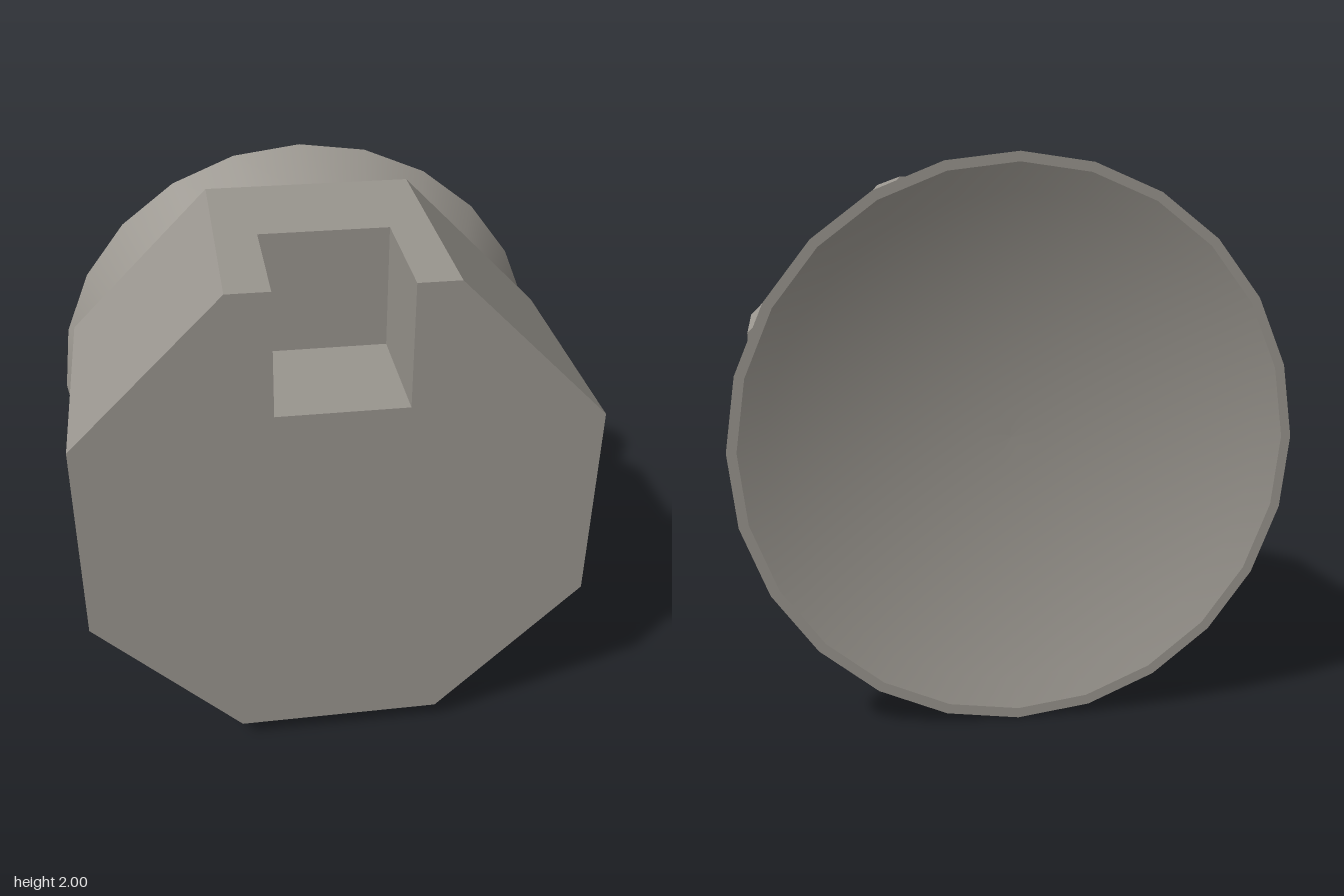
import * as THREE from 'three';
import { mergeGeometries } from 'three/addons/utils/BufferGeometryUtils.js';

const APOTHEM = 0.922, BACK = -0.347, FRONT = 0.575, CY = 1;
const HALF = APOTHEM * Math.tan(Math.PI / 8);          // half an octagon side
const NOTCH = { half: 0.232, floor: 0.465, back: 0.112 }; // floor is relative to the axis

const shapeFrom = (pts) => new THREE.Shape(pts.map(([x, y]) => new THREE.Vector2(x, y)));

// Octagonal block with a square notch cut into its top front edge
function blockGeometry() {
  const a = APOTHEM, h = HALF, n = NOTCH, parts = [];
  const ring = [[-h, a], [-a, h], [-a, -h], [-h, -a], [h, -a], [a, -h], [a, h], [h, a]];

  // front face, with the notch in its outline
  parts.push(new THREE.ShapeGeometry(shapeFrom([
    ...ring, [n.half, a], [n.half, n.floor], [-n.half, n.floor], [-n.half, a],
  ])).translate(0, 0, FRONT));

  // back face
  parts.push(new THREE.ShapeGeometry(shapeFrom(ring)).rotateY(Math.PI).translate(0, 0, BACK));

  // seven plain sides
  for (let k = 1; k < 8; k++) {
    parts.push(new THREE.PlaneGeometry(2 * h, FRONT - BACK).rotateX(-Math.PI / 2)
      .translate(0, a, (FRONT + BACK) / 2).rotateZ(k * Math.PI / 4));
  }

  // U-shaped top side
  parts.push(new THREE.ShapeGeometry(shapeFrom([
    [-h, -FRONT], [-n.half, -FRONT], [-n.half, -n.back], [n.half, -n.back],
    [n.half, -FRONT], [h, -FRONT], [h, -BACK], [-h, -BACK],
  ])).rotateX(-Math.PI / 2).translate(0, a, 0));

  // notch walls and floor
  const depth = FRONT - n.back, height = a - n.floor;
  const midY = n.floor + height / 2, midZ = n.back + depth / 2;
  for (const s of [-1, 1]) {
    parts.push(new THREE.PlaneGeometry(depth, height).rotateY(-s * Math.PI / 2)
      .translate(s * n.half, midY, midZ));
  }
  parts.push(new THREE.PlaneGeometry(2 * n.half, height).translate(0, midY, n.back));
  parts.push(new THREE.PlaneGeometry(2 * n.half, depth).rotateX(-Math.PI / 2)
    .translate(0, n.floor, midZ));
  return mergeGeometries(parts);
}

// Profile of [radius, z] points turned about the z axis
const turned = (pts) => new THREE.LatheGeometry(
  pts.map(([r, z]) => new THREE.Vector2(r, z)), 24).rotateX(Math.PI / 2);

export function createModel() {
  const group = new THREE.Group();
  const stone = new THREE.MeshStandardMaterial({ color: 0x9a968f });
  stone.name = 'warmGrey';

  const add = (name, geometry) => {
    const mesh = new THREE.Mesh(geometry, stone);
    mesh.name = name;
    mesh.position.y = CY;
    group.add(mesh);
  };

  add('octagonalBlock', blockGeometry());

  // Flared dish on the back: shallow spherical bowl, thin rim, conical outside
  const rim = -0.575, inner = 0.965, depth = 0.155;
  const radius = (inner * inner + depth * depth) / (2 * depth);
  const sweep = Math.asin(inner / radius);
  const bowl = [];
  for (let i = 0; i <= 10; i++) {
    const t = sweep * i / 10;
    bowl.push([radius * Math.sin(t), rim + depth - radius * (1 - Math.cos(t))]);
  }
  add('dishBowl', turned(bowl));
  add('dishRim', turned([[inner, rim], [1, rim]]));
  add('dishFlare', turned([[1, rim], [0.885, BACK]]));
  return group;
}
